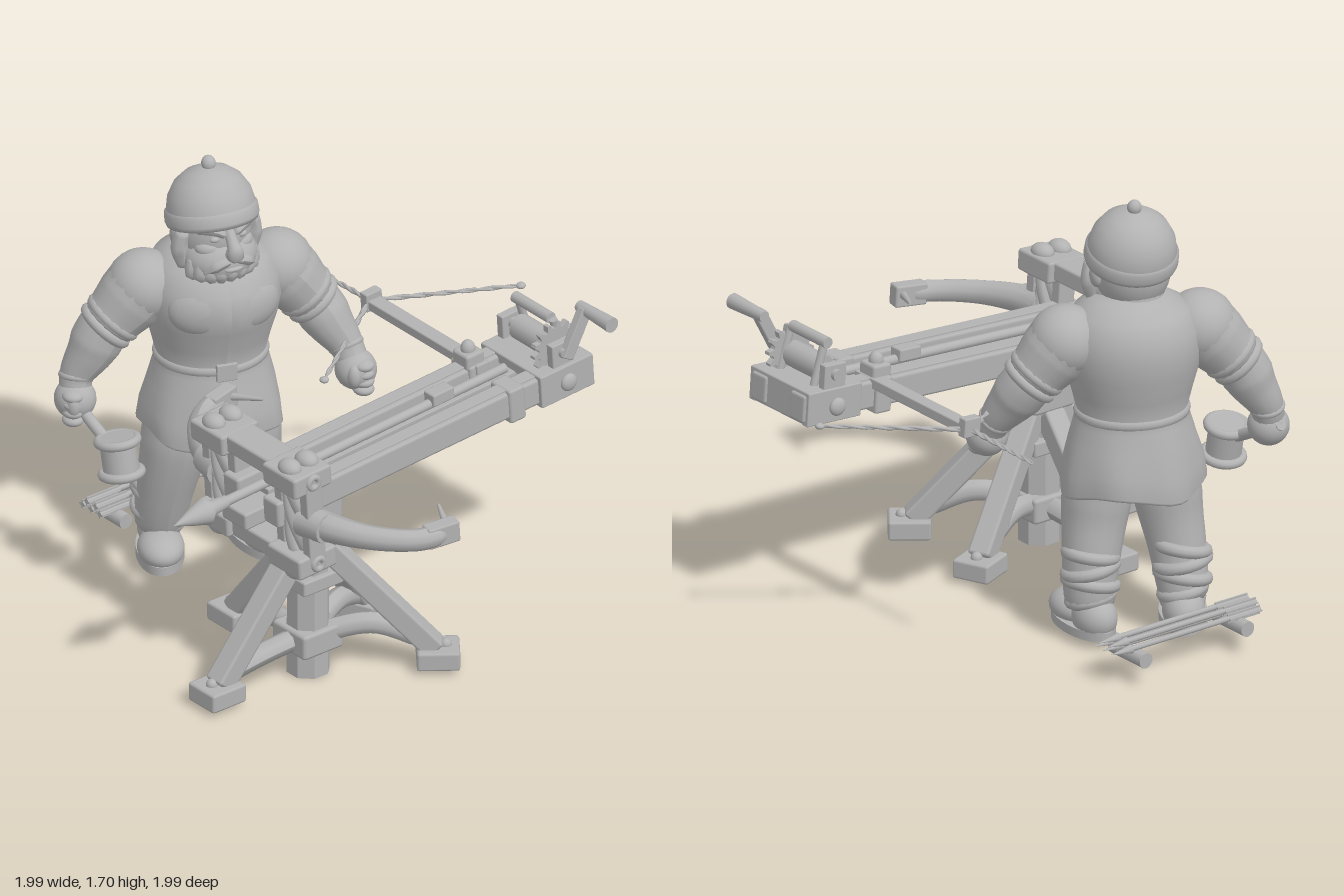
import * as THREE from 'three';
import { RoundedBoxGeometry } from 'three/addons/geometries/RoundedBoxGeometry.js';

const V = (x, y, z) => new THREE.Vector3(x, y, z);

export function createModel() {
  const grey = new THREE.MeshStandardMaterial({ color: 0xb2b2b2 });
  grey.name = 'primer grey';
  const root = new THREE.Group();

  // ---- helpers ----
  const group = (parent, name, x = 0, y = 0, z = 0) => {
    const g = new THREE.Group();
    g.name = name;
    g.position.set(x, y, z);
    parent.add(g);
    return g;
  };
  const add = (parent, name, geo, x = 0, y = 0, z = 0) => {
    const m = new THREE.Mesh(geo, grey);
    m.name = name;
    m.position.set(x, y, z);
    parent.add(m);
    return m;
  };
  const box = (p, name, w, h, d, x, y, z) =>
    add(p, name, new RoundedBoxGeometry(w, h, d, 1, Math.min(w, h, d) * 0.14), x, y, z);
  const ball = (p, name, rx, ry, rz, x, y, z) => {
    const m = add(p, name, new THREE.SphereGeometry(1, 24, 16), x, y, z);
    m.scale.set(rx, ry, rz);
    return m;
  };
  // square timber between two points
  const beam = (p, name, a, b, w, h) => {
    const mid = a.clone().add(b).multiplyScalar(0.5);
    const m = box(p, name, w, h, a.distanceTo(b), mid.x, mid.y, mid.z);
    m.quaternion.setFromRotationMatrix(new THREE.Matrix4().lookAt(b, a, V(0, 1, 0)));
    return m;
  };
  // round rod between two points
  const rod = (p, name, a, b, r, r2 = r, sides = 14) => {
    const d = b.clone().sub(a), mid = a.clone().add(b).multiplyScalar(0.5);
    const m = add(p, name, new THREE.CylinderGeometry(r2, r, d.length(), sides), mid.x, mid.y, mid.z);
    m.quaternion.setFromUnitVectors(V(0, 1, 0), d.normalize());
    return m;
  };
  // round-ended tube with radii interpolated along its path
  const limb = (p, name, pts, radii, segs = 28, sides = 16) => {
    const curve = new THREE.CatmullRomCurve3(pts);
    const geo = new THREE.TubeGeometry(curve, segs, 1, sides);
    const pos = geo.attributes.position, v = V(0, 0, 0);
    for (let i = 0; i <= segs; i++) {
      const u = i / segs, c = curve.getPointAt(u), t = u * (radii.length - 1);
      const k = Math.min(Math.floor(t), radii.length - 2);
      const f = Math.min(1, Math.min(u, 1 - u) / 0.1);
      const r = THREE.MathUtils.lerp(radii[k], radii[k + 1], t - k) * Math.sqrt(1 - (1 - f) ** 2) + 1e-4;
      for (let j = 0; j <= sides; j++) {
        const n = i * (sides + 1) + j;
        v.fromBufferAttribute(pos, n).sub(c).multiplyScalar(r).add(c);
        pos.setXYZ(n, v.x, v.y, v.z);
      }
    }
    geo.computeVertexNormals();
    return add(p, name, geo);
  };
  const ring = (p, name, c, dir, r, t) => {
    const m = add(p, name, new THREE.TorusGeometry(r, t, 10, 28), c.x, c.y, c.z);
    m.quaternion.setFromUnitVectors(V(0, 0, 1), dir.clone().normalize());
    return m;
  };
  const lathe = pts => new THREE.LatheGeometry(pts.map(q => new THREE.Vector2(...q)), 40);

  // ---- stand: post, collars, four legs ----
  const stand = group(root, 'stand', -0.375, 0, 0.335);
  add(stand, 'post', new THREE.CylinderGeometry(0.078, 0.083, 0.76, 8).rotateY(Math.PI / 8).toNonIndexed(), 0, 0.38, 0)
    .geometry.computeVertexNormals();
  [[0.15, 0.1], [0.4, 0.06], [0.585, 0.1], [0.7, 0.12]].forEach(([y, h]) => box(stand, 'collar', 0.19, h, 0.19, 0, y, 0));
  [[-0.43, 0, 0.14], [0, -0.42, 0.14], [0.41, -0.17, 0.18], [0.38, 0.29, 0.19]].forEach(([x, z, rise]) => {
    const at = (f, y) => V(x * f, y, z * f);
    beam(stand, 'leg', at(0.98, 0.08), at(0.14, 0.52), 0.09, 0.085);
    limb(stand, 'brace', [at(0.9, 0.12), at(0.5, rise), at(0.05, 0.15)], [0.042, 0.042, 0.042], 16, 8);
    box(stand, 'foot', 0.15, 0.075, 0.16, x, 0.055, z).rotation.y = Math.atan2(x, z);
    ball(stand, 'footBolt', 0.022, 0.022, 0.022, x * 1.06, 0.095, z * 1.06);
  });

  // ---- bolt thrower, tilted up towards its rear ----
  const engine = group(root, 'boltThrower', -0.37, 0.81, 0.315);
  engine.rotation.z = 0.069;
  box(engine, 'noseBlock', 0.27, 0.07, 0.14, -0.215, -0.03, 0.005);
  for (const s of [-1, 1]) {
    box(engine, 'rail', 1.5, 0.11, 0.09, 0.485, 0, s * 0.115 + 0.003);
    box(engine, 'railCap', 1.36, 0.02, 0.055, 0.52, 0.052, s * 0.115 + 0.003);
    box(engine, 'clamp', 0.075, 0.14, 0.115, 0.87, -0.005, s * 0.115);
  }
  for (let i = 0; i < 12; i++) rod(engine, 'rung', V(i * 0.095, -0.02, -0.11), V(i * 0.095, -0.02, 0.11), 0.026);
  box(engine, 'slide', 1.2, 0.03, 0.06, 0.4, 0.015, 0);
  box(engine, 'trigger', 0.1, 0.05, 0.06, 0.64, 0.065, 0);
  rod(engine, 'boltShaft', V(-0.45, 0.045, 0), V(0.95, 0.045, 0), 0.019);
  const head = add(engine, 'boltHead',
    lathe([[0, -0.07], [0.024, -0.07], [0.03, 0], [0.052, 0.03], [0.03, 0.1], [0, 0.18]]), -0.445, 0.045, 0);
  head.rotation.z = Math.PI / 2;

  // torsion frame
  const frame = group(engine, 'torsionFrame', -0.2, 0.01, 0);
  for (const t of [-1, 1]) {
    box(frame, 'crossBeam', 0.13, 0.07, 0.6, 0, t * 0.18, 0);
    for (const s of [-1, 1]) {
      box(frame, 'endBlock', 0.18, 0.085, 0.19, 0, t * 0.175, s * 0.21);
      for (const dx of [-0.04, 0.04]) ball(frame, 'knob', 0.04, 0.035, 0.05, dx, t * 0.22, s * 0.22);
      ring(frame, 'boss', V(0, t * 0.175, s * 0.305), V(0, 0, 1), 0.022, 0.012);
    }
  }
  for (const s of [-1, 1]) {
    for (const z of [0.135, 0.285]) box(frame, 'upright', 0.075, 0.34, 0.045, 0, 0, s * z);
    // twisted skein
    for (let k = 0; k < 5; k++) {
      const pts = Array.from({ length: 9 }, (_, i) => {
        const a = k * 1.2566 + i * 0.45;
        return V(Math.cos(a) * 0.035, -0.18 + i * 0.045, s * 0.21 + Math.sin(a) * 0.035);
      });
      limb(frame, 'skeinRope', pts, [0.024, 0.024], 20, 7);
    }
    // curved arm with hook
    limb(engine, 'bowArm', [V(-0.2, 0, s * 0.2), V(-0.17, 0, s * 0.36), V(-0.09, -0.01, s * 0.51), V(0.03, -0.02, s * 0.62), V(0.14, -0.02, s * 0.65)],
      [0.06, 0.055, 0.046, 0.042, 0.042], 30, 10);
    rod(engine, 'armSocket', V(-0.2, 0, s * 0.24), V(-0.185, 0, s * 0.35), 0.066, 0.058);
    box(engine, 'armTip', 0.13, 0.085, 0.06, 0.12, -0.02, s * 0.64).rotation.y = -s * 0.2;
    rod(engine, 'armHook', V(0.15, -0.015, s * 0.64), V(0.215, 0, s * 0.51), 0.017, 0.006);
  }

  // winch at the rear
  const winch = group(engine, 'winch', 1.1, 0, 0);
  box(winch, 'bedPlate', 0.25, 0.045, 0.35, 0, 0.045, 0.005);
  box(winch, 'endBeam', 0.09, 0.13, 0.35, 0.08, 0, 0.005);
  rod(winch, 'axle', V(0, 0.12, -0.18), V(0, 0.12, 0.18), 0.022);
  rod(winch, 'drum', V(0, 0.12, -0.09), V(0, 0.12, 0.09), 0.05);
  for (const s of [-1, 1]) {
    box(winch, 'sidePlate', 0.25, 0.13, 0.035, 0, 0, s * 0.157 + 0.005);
    box(winch, 'bearing', 0.1, 0.12, 0.035, 0, 0.1, s * 0.145);
    ball(winch, 'bedBolt', 0.035, 0.035, 0.02, 0, 0, s * 0.185);
    rod(winch, 'pawlPost', V(0.05, 0.06, s * 0.1), V(0.01, 0.23, s * 0.1), 0.016);
  }
  rod(winch, 'pawlBar', V(0.01, 0.23, -0.12), V(0.01, 0.23, 0.09), 0.022);
  const gear = new THREE.Shape();
  for (let i = 0; i < 56; i++) {
    const a = i / 56 * Math.PI * 2, r = i % 4 < 2 ? 0.105 : 0.082;
    gear[i ? 'lineTo' : 'moveTo'](Math.cos(a) * r, Math.sin(a) * r);
  }
  add(winch, 'gear', new THREE.ExtrudeGeometry(gear, { depth: 0.025, bevelEnabled: false }), 0, 0.125, 0.1);
  beam(winch, 'crankArm', V(0, 0.1, 0.175), V(0.105, 0.27, 0.175), 0.035, 0.05);
  rod(winch, 'crankHandle', V(0.105, 0.265, 0.14), V(0.105, 0.265, 0.33), 0.022, 0.03);

  // side spar with three twisted cords
  const spar = group(engine, 'sideSpar', 0.89, 0.045, 0);
  beam(spar, 'spar', V(0, 0, -0.05), V(0, 0, -0.7), 0.06, 0.04);
  box(spar, 'sparEnd', 0.075, 0.075, 0.04, 0, 0.01, -0.7);
  box(spar, 'sparSaddle', 0.085, 0.11, 0.09, -0.02, 0.01, -0.11);
  ball(spar, 'saddleKnob', 0.028, 0.035, 0.028, -0.02, 0.07, -0.11);
  [V(-0.47, 0, -0.4), V(0.465, 0, -0.4), V(0, -0.01, -1.085)].forEach(e => {
    const a = V(0, 0, -0.71), side = V(e.z - a.z, 0, -e.x).normalize();
    for (const s of [-1, 1]) {
      const pts = Array.from({ length: 17 }, (_, i) => a.clone().lerp(e, i / 16)
        .addScaledVector(side, s * Math.cos(i * 1.3) * 0.004).add(V(0, s * Math.sin(i * 1.3) * 0.004, 0)));
      limb(spar, 'cord', pts, [0.008, 0.006, 0.005], 36, 6);
    }
    if (e.x) ball(spar, 'cordKnot', 0.018, 0.012, 0.018, e.x, e.y, e.z);
  });

  // ---- crewman: tunic and legs ----
  const man = group(root, 'crewman');
  const body = group(man, 'body', -0.125, 0, -0.535);
  body.rotation.y = -0.38;
  const tunic = lathe([[0, 0.65], [0.23, 0.63], [0.262, 0.588], [0.272, 0.6], [0.262, 0.68], [0.24, 0.77], [0.218, 0.85], [0.208, 0.9],
    [0.225, 0.97], [0.25, 1.06], [0.262, 1.14], [0.255, 1.22], [0.215, 1.29], [0.14, 1.335], [0, 1.36]]);
  const tp = tunic.attributes.position;
  for (let i = 0; i < tp.count; i++) {
    const x = tp.getX(i), y = tp.getY(i), z = tp.getZ(i);
    const fold = 1 + Math.max(0, 0.86 - y) * 0.11 * Math.cos(7 * Math.atan2(x, z));
    const chest = z > 0 ? 0.025 * Math.exp(-(((y - 1.15) / 0.09) ** 2)) * (z / 0.25) : 0;
    const hem = y < 0.7 ? 0.02 * Math.sin(3 * Math.atan2(x, z)) : 0;
    tp.setXYZ(i, x * fold, y + hem, z * fold * 0.91 + chest);
  }
  tunic.computeVertexNormals();
  add(body, 'tunic', tunic);
  const belt = add(body, 'belt', new THREE.TorusGeometry(0.206, 0.012, 8, 40).rotateX(Math.PI / 2), 0, 0.885, 0);
  belt.scale.set(1, 1.6, 0.91);
  box(body, 'buckle', 0.08, 0.07, 0.03, 0, 0.885, 0.19);
  for (const s of [-1, 1]) {
    const x = s * 0.18, zf = s > 0 ? -0.055 : -0.085;
    ball(body, 'pectoral', 0.125, 0.1, 0.06, s * 0.095, 1.15, 0.18).rotation.y = s * 0.35;
    limb(body, 'trouserLeg', [V(s * 0.11, 0.74, 0), V(s * 0.14, 0.5, 0), V(s * 0.165, 0.32, -0.03), V(x, 0.1, zf)],
      [0.125, 0.13, 0.13, 0.118, 0.108, 0.1, 0.088]);
    [[0.335, 0.088], [0.28, 0.092], [0.225, 0.09], [0.165, 0.076]].forEach(([y, r], i) =>
      ring(body, 'trouserFold', V(s * 0.172, y, zf + 0.01), V(0.2 * (i % 2 ? 1 : -1), 1, 0.15), r, 0.024));
    const boot = group(body, 'boot', x, 0, zf + 0.03);
    boot.rotation.y = s * 0.25;
    ball(boot, 'bootToe', 0.088, 0.065, 0.12, 0, 0.092, 0.085);
    ball(boot, 'bootHeel', 0.08, 0.085, 0.1, 0, 0.1, -0.055);
    const sole = add(boot, 'sole', new THREE.CylinderGeometry(1, 1, 0.035, 28), 0, 0.05, 0.025);
    sole.scale.set(0.09, 1, 0.178);
  }

  // arms: shoulder, short sleeve, bare forearm, fist
  const arm = (sh, el, wr, fist, curl) => {
    const g = group(man, 'arm'), d = el.clone().sub(sh), cuff = sh.clone().addScaledVector(d, 0.78);
    ball(g, 'shoulder', 0.138, 0.135, 0.138, sh.x, sh.y, sh.z);
    limb(g, 'sleeve', [sh.clone().addScaledVector(d, -0.3), sh, el], [0.12, 0.135, 0.13, 0.115, 0.105]);
    for (const k of [0, 0.04]) ring(g, 'cuff', cuff.clone().addScaledVector(d, k * 5), d, 0.095 - k * 0.1, 0.022);
    limb(g, 'forearm', [sh.clone().lerp(el, 0.6), el, el.clone().lerp(wr, 0.5), wr, fist], [0.09, 0.098, 0.098, 0.08, 0.062, 0.058]);
    ring(g, 'wristBand', wr, fist.clone().sub(wr), 0.055, 0.014);
    ball(g, 'fist', 0.078, 0.078, 0.08, fist.x, fist.y, fist.z);
    for (let i = 0; i < 4; i++)
      ball(g, 'finger', 0.04, 0.024, 0.042, fist.x + curl.x, fist.y + 0.035 - i * 0.033, fist.z + curl.z);
    ball(g, 'thumb', 0.025, 0.045, 0.028, fist.x - 0.045, fist.y, fist.z + 0.045);
  };
  arm(V(0.12, 1.19, -0.45), V(0.235, 1.03, -0.38), V(0.3, 0.86, -0.27), V(0.305, 0.78, -0.22), V(0, 0, 0.045));
  arm(V(-0.36, 1.19, -0.64), V(-0.49, 1.03, -0.705), V(-0.585, 0.84, -0.75), V(-0.605, 0.755, -0.735), V(-0.035, 0, 0.03));

  // mallet
  const mallet = group(man, 'mallet');
  rod(mallet, 'malletHandle', V(-0.605, 0.78, -0.81), V(-0.6, 0.62, -0.5), 0.022);
  rod(mallet, 'malletHead', V(-0.595, 0.69, -0.505), V(-0.595, 0.54, -0.475), 0.068, 0.068, 18);
  for (const [y, z] of [[0.675, -0.502], [0.55, -0.477]])
    ring(mallet, 'malletBand', V(-0.595, y, z), V(0, -0.15, 0.03), 0.072, 0.018);

  // head, face and beard
  const face = group(man, 'head', -0.15, 0, -0.5);
  face.rotation.y = -0.22;
  ball(face, 'skull', 0.145, 0.17, 0.155, 0, 1.43, 0);
  ball(face, 'neck', 0.11, 0.12, 0.11, 0, 1.32, -0.03);
  ball(face, 'beard', 0.145, 0.105, 0.13, 0, 1.34, 0.06);
  for (let i = -4; i <= 4; i++) {
    const a = i * 0.3;
    limb(face, 'beardLock', [V(Math.sin(a) * 0.132, 1.37, 0.05 + Math.cos(a) * 0.1),
      V(Math.sin(a) * 0.13, 1.31, 0.05 + Math.cos(a) * 0.105), V(Math.sin(a) * 0.085, 1.25, 0.05 + Math.cos(a) * 0.085)], [0.015, 0.034, 0.016], 12, 8);
  }
  limb(face, 'nose', [V(0, 1.48, 0.135), V(0, 1.44, 0.17), V(0, 1.4, 0.2), V(0, 1.385, 0.155)], [0.02, 0.022, 0.032, 0.028], 16, 10);
  ball(face, 'lip', 0.04, 0.012, 0.02, 0, 1.332, 0.178);
  for (const s of [-1, 1]) {
    limb(face, 'brow', [V(s * 0.015, 1.46, 0.155), V(s * 0.06, 1.485, 0.14), V(s * 0.115, 1.475, 0.095)], [0.014, 0.021, 0.012], 12, 8);
    ball(face, 'eye', 0.02, 0.012, 0.014, s * 0.055, 1.446, 0.137);
    ball(face, 'cheek', 0.05, 0.032, 0.035, s * 0.07, 1.4, 0.108).rotation.y = s * 0.5;
    limb(face, 'moustache', [V(s * 0.005, 1.365, 0.172), V(s * 0.05, 1.355, 0.168), V(s * 0.105, 1.31, 0.132)], [0.018, 0.025, 0.01], 14, 8);
    ball(face, 'ear', 0.022, 0.045, 0.035, s * 0.145, 1.42, 0.0);
    limb(face, 'sideHair', [V(s * 0.14, 1.47, 0.05), V(s * 0.152, 1.39, 0.04), V(s * 0.135, 1.3, 0.045)], [0.025, 0.035, 0.02], 12, 8);
  }
  const helmet = group(face, 'helmet', 0, 1.463, 0.005);
  helmet.rotation.x = -0.26;
  add(helmet, 'dome', lathe([[0, 0], [0.166, 0], [0.166, 0.05], [0.155, 0.1], [0.125, 0.15], [0.08, 0.184], [0.03, 0.2], [0, 0.202]]));
  add(helmet, 'brim', lathe([[0.15, -0.012], [0.17, -0.012], [0.176, 0.005], [0.174, 0.04], [0.165, 0.05]]));
  ball(helmet, 'topKnob', 0.027, 0.03, 0.027, 0, 0.212, 0.025);

  // ---- spare bolts resting on two logs ----
  const rack = group(root, 'spareBolts');
  for (const x of [-0.31, 0.165]) rod(rack, 'log', V(x, 0.1, -0.99), V(x, 0.1, -0.8), 0.03);
  for (let i = 0; i < 5; i++) {
    const z = -0.945 + i * 0.025, y = 0.142 + (i % 2) * 0.022;
    rod(rack, 'spareShaft', V(-0.4, y, z), V(0.21, y, z), 0.011, 0.011, 8);
    rod(rack, 'spareTip', V(0.2, y, z), V(0.29, y, z), 0.018, 0.001, 8);
    box(rack, 'fletching', 0.15, 0.035, 0.006, -0.325, y, z);
    box(rack, 'fletching', 0.15, 0.006, 0.035, -0.325, y, z);
  }
  return root;
}
